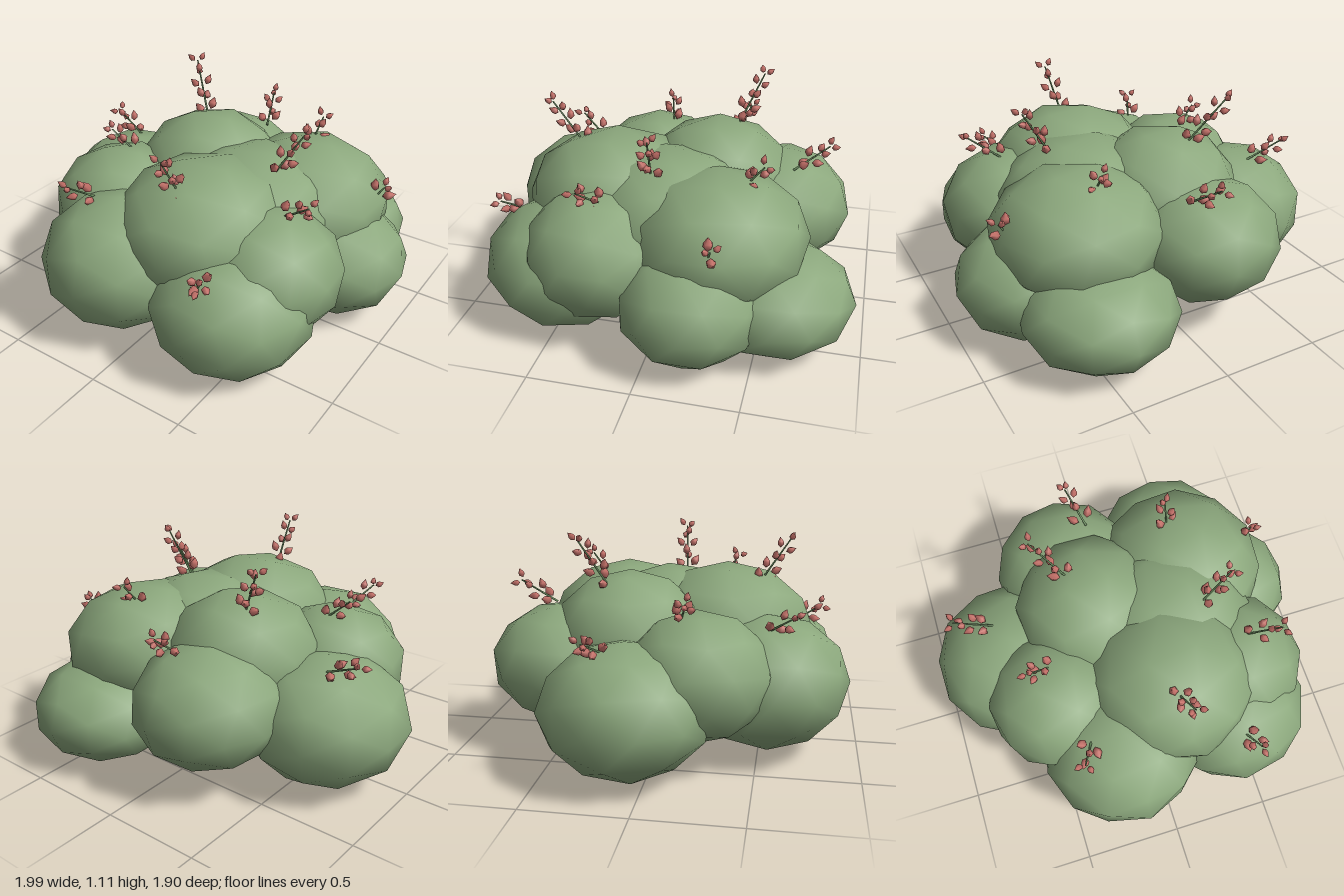
import * as THREE from 'three';

const mat = (name, color) => {
  const m = new THREE.MeshStandardMaterial({ color });
  m.name = name;
  return m;
};

export function createModel() {
  const foliage = mat('foliage green', 0x8ca87d);
  const stemGreen = mat('stem green', 0x6c8e60);
  const budRed = mat('bud red', 0xc8736b);
  const model = new THREE.Group();
  model.name = 'shrub';

  // Foliage mounds: x, y, z, horizontal radius, vertical radius, turn, tilt
  const mounds = [
    ['leftMound', -0.585, 0.335, -0.1, 0.42, 0.325, 0.3, 0],
    ['leftFrontMound', -0.42, 0.46, 0.22, 0.37, 0.31, 0.25, 0.28],
    ['frontMound', -0.175, 0.375, 0.535, 0.41, 0.335, 0.08, 0],
    ['frontRightMound', 0.44, 0.315, 0.485, 0.405, 0.32, -0.1, 0.28],
    ['rightFrontMound', 0.51, 0.43, 0.29, 0.37, 0.32, -0.2, 0.2],
    ['rightMound', 0.64, 0.29, -0.2, 0.36, 0.285, 0, 0],
    ['backRightMound', 0.44, 0.255, -0.57, 0.385, 0.255, 0, 0],
    ['backMound', -0.18, 0.43, -0.49, 0.385, 0.305, -0.15, 0.1],
    ['upperBackMound', 0.4, 0.52, -0.28, 0.44, 0.325, 0.2, 0.28],
    ['upperLeftMound', -0.13, 0.56, -0.17, 0.4, 0.335, 0.1, 0.28],
    ['upperFrontMound', 0.155, 0.55, 0.305, 0.45, 0.345, 0.12, 0.28],
    ['coreMound', 0.24, 0.54, 0, 0.45, 0.32, 0.4, 0.28],
  ];
  for (const [name, x, y, z, r, h, turn, tilt] of mounds) {
    const geo = new THREE.IcosahedronGeometry(1, 1).rotateZ(tilt).scale(r, h, r).rotateY(turn);
    const mesh = new THREE.Mesh(geo, foliage);
    mesh.name = name;
    mesh.position.set(x, y, z);
    model.add(mesh);
  }

  // Sprigs: base point, tip point, number of bud pairs
  const sprigs = [
    [[-0.23, 0.86, -0.27], [-0.36, 1.08, -0.37], 5],
    [[0.13, 0.82, 0.48], [0.15, 1.03, 0.62], 5],
    [[0.41, 0.83, 0.05], [0.53, 1.03, 0.03], 5],
    [[0.36, 0.8, -0.41], [0.37, 0.89, -0.48], 3],
    [[0.58, 0.73, 0.26], [0.72, 0.84, 0.31], 4],
    [[-0.68, 0.64, -0.21], [-0.83, 0.71, -0.24], 4],
    [[-0.43, 0.74, 0.14], [-0.53, 0.83, 0.17], 4],
    [[-0.04, 0.72, -0.61], [-0.09, 0.82, -0.75], 4],
    [[-0.34, 0.68, 0.56], [-0.39, 0.75, 0.66], 3],
    [[0.43, 0.57, 0.72], [0.47, 0.61, 0.8], 3],
    [[0.79, 0.65, -0.31], [0.81, 0.68, -0.32], 2],
  ];
  const up = new THREE.Vector3(0, 1, 0);
  const stemGeo = new THREE.CylinderGeometry(0.004, 0.006, 1, 5);
  const budGeo = new THREE.LatheGeometry(
    [[0, -0.024], [0.016, -0.01], [0.015, 0.004], [0, 0.026]].map(p => new THREE.Vector2(...p)), 5);

  sprigs.forEach(([base, tip, pairs], i) => {
    const a = new THREE.Vector3(...base);
    const axis = new THREE.Vector3(...tip).sub(a);
    const length = axis.length();
    const sprig = new THREE.Group();
    sprig.name = `sprig${i + 1}`;
    sprig.position.copy(a);
    sprig.quaternion.setFromUnitVectors(up, axis.normalize());

    const stem = new THREE.Mesh(stemGeo, stemGreen);
    stem.name = 'stem';
    stem.scale.y = length + 0.04;
    stem.position.y = length / 2 - 0.02;
    sprig.add(stem);

    // Opposite bud pairs, each turned from the last and smaller toward the tip
    for (let k = 0; k < pairs; k++) {
      const t = k / (pairs - 1);
      for (const side of [0, Math.PI]) {
        const angle = i * 0.9 + k * 1.35 + side;
        const dir = new THREE.Vector3(Math.cos(angle), 0, Math.sin(angle));
        const bud = new THREE.Mesh(budGeo, budRed);
        bud.name = 'bud';
        bud.position.copy(dir).multiplyScalar(0.045 - 0.015 * t);
        bud.position.y = 0.02 + t * length;
        bud.quaternion.setFromUnitVectors(up, dir.setY(1.3).normalize());
        bud.scale.setScalar(1.4 - 0.4 * t);
        sprig.add(bud);
      }
    }
    model.add(sprig);
  });
  return model;
}
